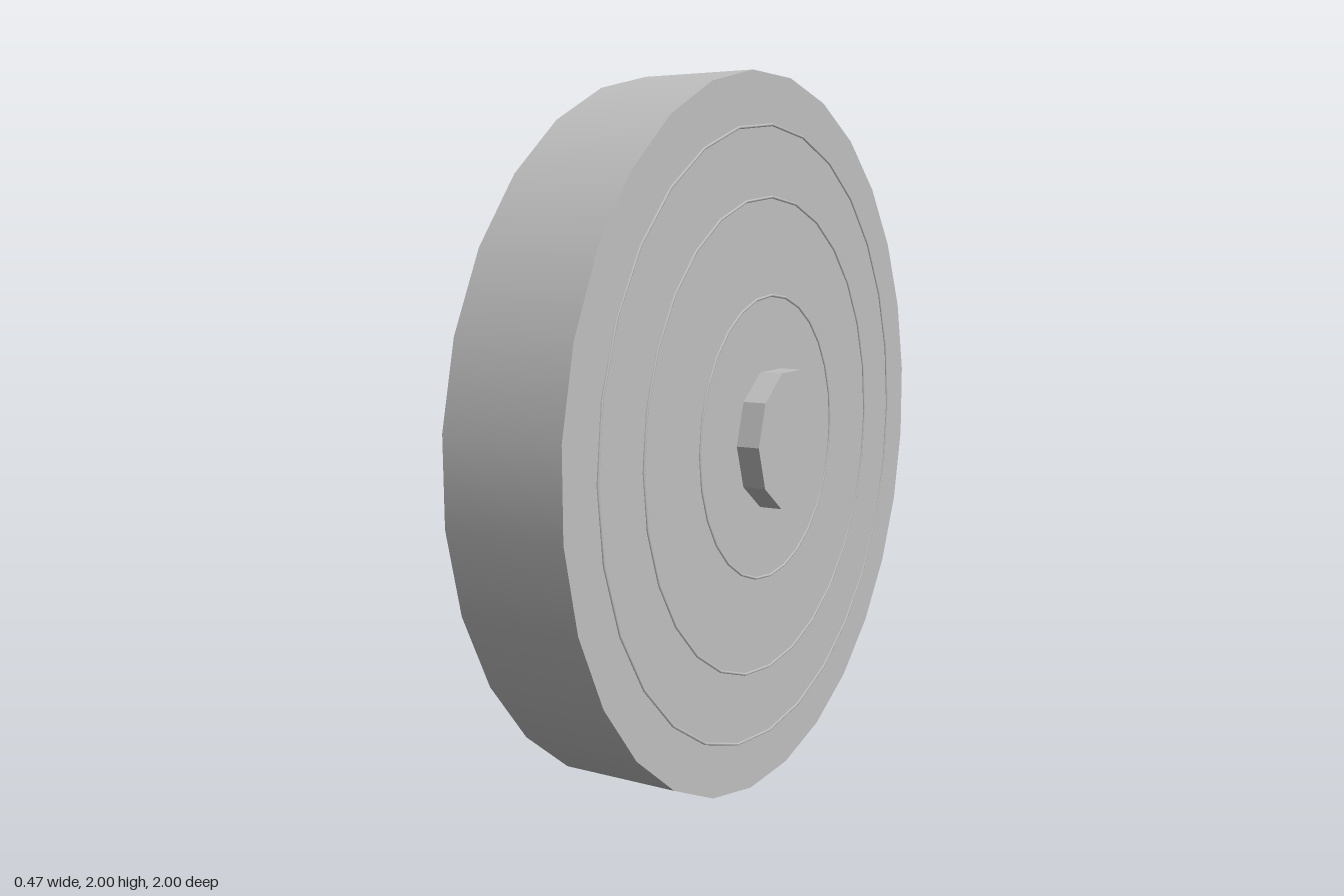
import * as THREE from 'three';

const SIDES = 28;
const HALF_WIDTH = 0.168;

export function createModel() {
  const model = new THREE.Group();
  model.name = 'wheel';

  const grey = new THREE.MeshStandardMaterial({ color: 0xc0c0c0 });
  grey.name = 'grey';
  const hubGrey = grey.clone();
  hubGrey.name = 'grey faceted';
  hubGrey.flatShading = true;

  const add = (name, geometry, material) => {
    const mesh = new THREE.Mesh(geometry, material);
    mesh.name = name;
    mesh.position.y = 1;
    model.add(mesh);
  };

  // Broad disc, turned so that flats lie at the top, bottom, front and back
  const radius = 1 / Math.cos(Math.PI / SIDES);
  const disc = new THREE.CylinderGeometry(
    radius, radius, HALF_WIDTH * 2, SIDES, 1, false, Math.PI / SIDES);
  add('disc', disc.rotateZ(-Math.PI / 2), grey);

  // Ten-sided hub passing through the disc
  const hub = new THREE.CylinderGeometry(0.2, 0.2, 0.47, 10);
  add('hub', hub.rotateZ(-Math.PI / 2), hubGrey);

  // Three fine raised rings on each face
  for (const side of [1, -1]) {
    [0.4, 0.67, 0.865].forEach((r, i) => {
      const ring = new THREE.TorusGeometry(r, 0.004, 6, SIDES);
      ring.rotateY(Math.PI / 2).translate(side * HALF_WIDTH, 0, 0);
      add(`${side > 0 ? 'left' : 'right'}Ring${i + 1}`, ring, grey);
    });
  }

  return model;
}
